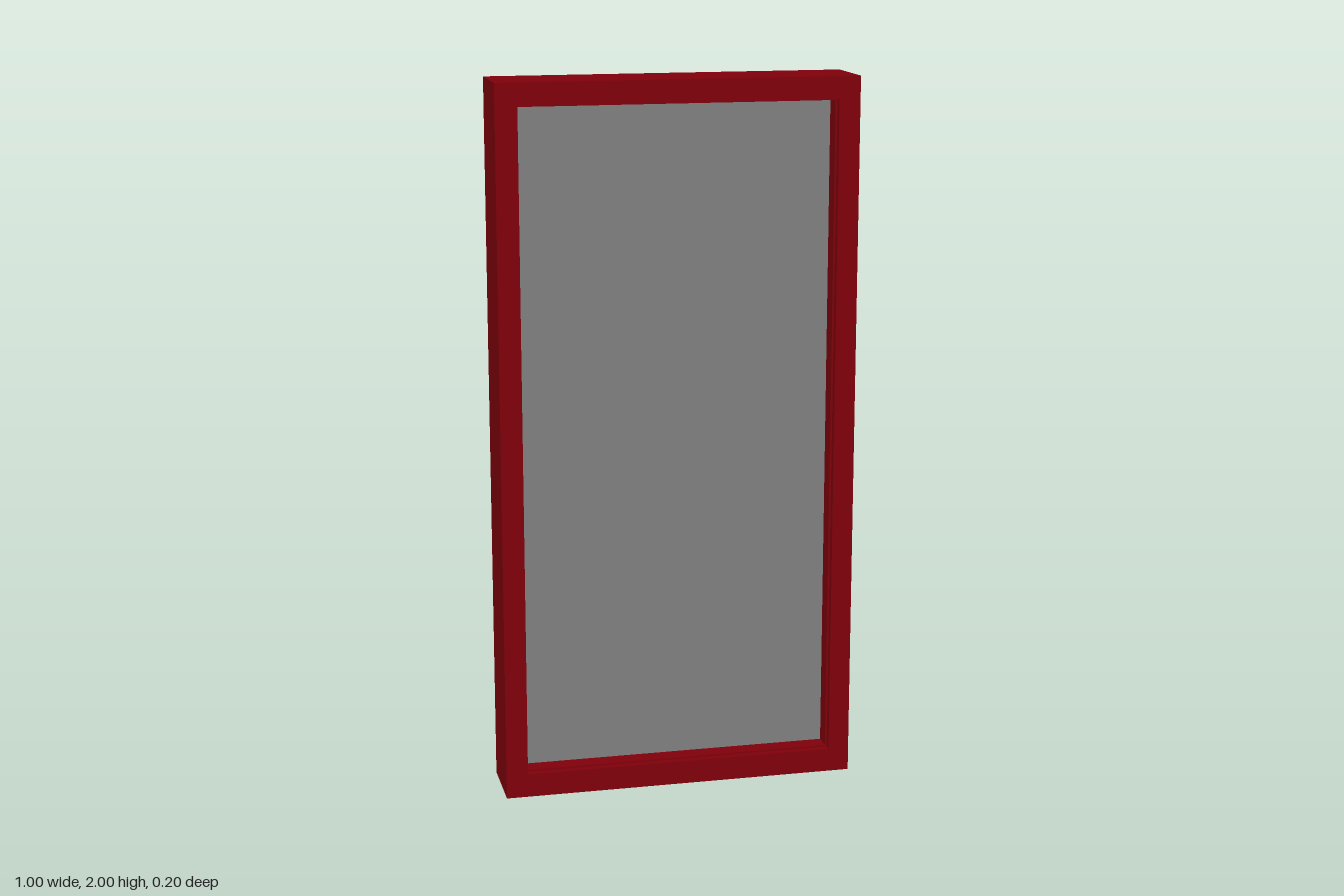
import * as THREE from 'three';

// Rectangular ring from x = -w..w and y = bottom..top, extruded about z = 0
function ring(outer, inner, depth) {
  const trace = (path, [w, bottom, top]) => {
    path.moveTo(-w, bottom);
    path.lineTo(w, bottom);
    path.lineTo(w, top);
    path.lineTo(-w, top);
    path.closePath();
    return path;
  };
  const shape = trace(new THREE.Shape(), outer);
  shape.holes.push(trace(new THREE.Path(), inner));
  const geometry = new THREE.ExtrudeGeometry(shape, { depth, bevelEnabled: false });
  return geometry.translate(0, 0, -depth / 2);
}

export function createModel() {
  const model = new THREE.Group();
  model.name = 'window';
  const red = new THREE.MeshStandardMaterial({ color: 0x80000b });
  const grey = new THREE.MeshStandardMaterial({ color: 0x808080 });

  const add = (name, geometry, material) => {
    const mesh = new THREE.Mesh(geometry, material);
    mesh.name = name;
    model.add(mesh);
    return mesh;
  };

  // Outer frame, with a slightly deeper bottom rail
  const opening = [0.441, 0.067, 1.939];
  add('frame', ring([0.5, 0, 2], opening, 0.2), red);

  // Thin stop, stepped in from both faces, that holds the pane
  const sight = [0.436, 0.072, 1.934];
  add('paneStop', ring(opening, sight, 0.16), red);

  // Thick pane in the middle of the frame
  const [w, bottom, top] = sight;
  const pane = add('pane', new THREE.BoxGeometry(2 * w, top - bottom, 0.06), grey);
  pane.position.y = (bottom + top) / 2;

  return model;
}
